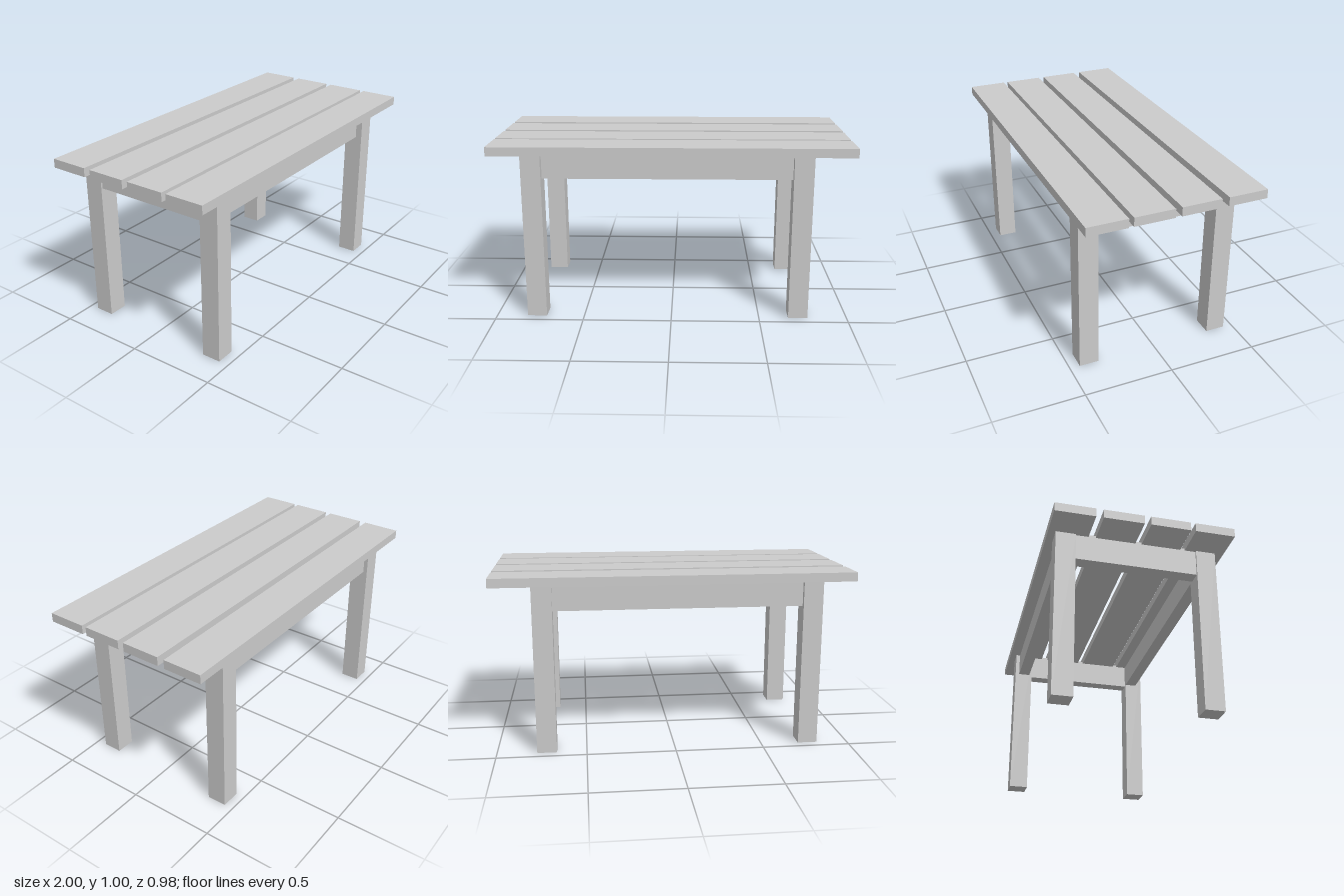
import * as THREE from 'three';

const material = new THREE.MeshStandardMaterial({ color: 0xcccccc, flatShading: true });

// Box spanning two limits on each axis
function block(name, [x0, x1], [y0, y1], [z0, z1]) {
  const mesh = new THREE.Mesh(new THREE.BoxGeometry(x1 - x0, y1 - y0, z1 - z0), material);
  mesh.name = name;
  mesh.position.set((x0 + x1) / 2, (y0 + y1) / 2, (z0 + z1) / 2);
  return mesh;
}

export function createModel() {
  const table = new THREE.Group();
  table.name = 'slattedTable';

  // Four top planks, slightly unevenly spaced
  const plankCentres = [0.382, 0.136, -0.119, -0.379];
  plankCentres.forEach((z, i) => {
    table.add(block(`plank${i + 1}`, [-1, 1], [0.945, 0.995], [z - 0.11, z + 0.11]));
  });

  // Square legs
  const legX = { right: [-0.825, -0.715], left: [0.667, 0.777] };
  const legZ = { front: [0.334, 0.443], back: [-0.449, -0.339] };
  for (const [end, z] of Object.entries(legZ)) {
    for (const [side, x] of Object.entries(legX)) {
      table.add(block(`${end}${side}Leg`, x, [0, 0.945], z));
    }
  }

  // Long rails between the legs, set back from their outer faces
  const longX = [legX.right[1], legX.left[0]];
  table.add(block('frontRail', longX, [0.802, 0.955], [0.335, 0.405]));
  table.add(block('backRail', longX, [0.802, 0.955], [-0.425, -0.355]));

  // Short end rails, let a little way into the planks
  const shortZ = [legZ.back[1], legZ.front[0]];
  table.add(block('rightRail', [-0.815, -0.743], [0.797, 0.957], shortZ));
  table.add(block('leftRail', [0.688, 0.76], [0.797, 0.957], shortZ));

  return table;
}
